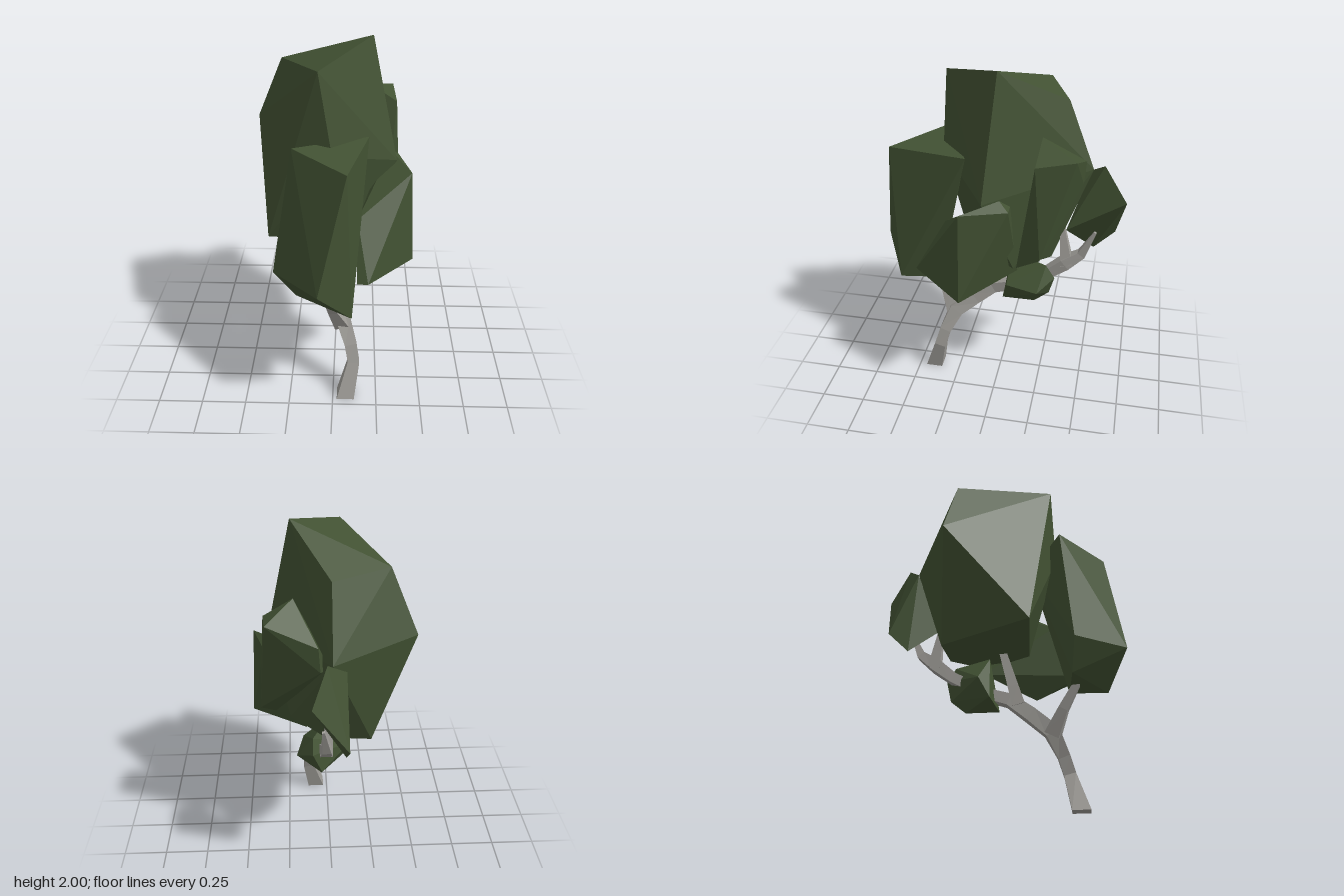
import * as THREE from 'three';
import { ConvexGeometry } from 'three/addons/geometries/ConvexGeometry.js';

const leaf = new THREE.MeshStandardMaterial({ color: 0x425233, flatShading: true });
leaf.name = 'dark green leaves';
const bark = new THREE.MeshStandardMaterial({ color: 0x9f9d98, flatShading: true });
bark.name = 'grey bark';

// Faceted leaf clump: the hull of a few corner points
function clump(name, corners) {
  const mesh = new THREE.Mesh(
    new ConvexGeometry(corners.map((c) => new THREE.Vector3(...c))), leaf);
  mesh.name = name;
  return mesh;
}

// Tapered limb: square rings along a path of [x, y, z, corner radius]
function limb(name, path, sides = 4) {
  const pts = path.map((p) => new THREE.Vector3(p[0], p[1], p[2]));
  const pos = [];
  const index = [];
  pts.forEach((p, i) => {
    const dir = pts[Math.min(i + 1, pts.length - 1)].clone()
      .sub(pts[Math.max(i - 1, 0)]).normalize();
    if (i === 0 && p.y === 0) dir.set(0, 1, 0); // flat foot on the ground
    const u = new THREE.Vector3(1, 0, 0).addScaledVector(dir, -dir.x).normalize();
    const v = new THREE.Vector3().crossVectors(dir, u);
    for (let s = 0; s < sides; s++) {
      const a = ((s + 0.5) / sides) * Math.PI * 2;
      const q = p.clone().addScaledVector(u, Math.cos(a) * path[i][3])
        .addScaledVector(v, Math.sin(a) * path[i][3]);
      pos.push(q.x, q.y, q.z);
      if (i > 0) {
        const t = (s + 1) % sides;
        const a0 = (i - 1) * sides + s, a1 = (i - 1) * sides + t;
        const b0 = i * sides + s, b1 = i * sides + t;
        index.push(a0, a1, b1, a0, b1, b0);
      }
    }
  });
  // End caps
  const last = (pts.length - 1) * sides;
  for (let s = 1; s < sides - 1; s++) {
    index.push(0, s + 1, s, last, last + s, last + s + 1);
  }
  const indexed = new THREE.BufferGeometry();
  indexed.setAttribute('position', new THREE.Float32BufferAttribute(pos, 3));
  indexed.setIndex(index);
  const geo = indexed.toNonIndexed();
  geo.computeVertexNormals();
  const mesh = new THREE.Mesh(geo, bark);
  mesh.name = name;
  return mesh;
}

export function createModel() {
  const tree = new THREE.Group();
  tree.name = 'tree';

  // Leaning trunk that turns into the long back bough
  tree.add(limb('trunk', [
    [0.073, 0, 0.408, 0.07], [0.118, 0.2, 0.355, 0.047], [0.1, 0.3, 0.325, 0.047],
    [0.055, 0.43, 0.265, 0.06], [0.025, 0.52, 0.15, 0.055], [0.01, 0.6, 0.04, 0.048],
    [0.02, 0.64, -0.08, 0.044], [0.03, 0.75, -0.28, 0.042], [0.03, 0.83, -0.38, 0.05],
    [0.03, 0.9, -0.47, 0.034], [0.05, 1.06, -0.54, 0.01],
  ]));
  tree.add(limb('frontBranch', [
    [0.05, 0.41, 0.27, 0.06], [0.0, 0.54, 0.335, 0.038], [-0.04, 0.7, 0.43, 0.024],
  ]));
  tree.add(limb('middleBranch', [
    [0.01, 0.57, 0.09, 0.05], [0.005, 0.68, 0.06, 0.042], [0.0, 0.9, 0.0, 0.028],
  ]));
  tree.add(limb('backTwig', [
    [0.03, 0.82, -0.39, 0.05], [0.02, 0.92, -0.375, 0.036], [0.0, 1.1, -0.345, 0.014],
  ]));

  // Tall main crown
  tree.add(clump('mainCrown', [
    [0.2, 2, -0.02], [-0.075, 1.9, 0.305], [-0.3, 1.82, -0.23], [0, 1.8, -0.36],
    [-0.445, 1.47, -0.28], [0, 1.42, -0.505], [0.34, 1.33, 0.04], [-0.005, 1.46, 0.32],
    [-0.365, 0.92, 0.18], [-0.22, 0.85, -0.31], [0.05, 0.88, 0.15], [0.22, 0.88, -0.11],
    [0.03, 0.86, -0.3],
  ]));
  // Slanted front clump
  tree.add(clump('frontClump', [
    [0.075, 1.49, 0.605], [0.185, 1.51, 0.155], [-0.21, 1.52, 0.35], [-0.32, 0.83, 0.41],
    [-0.07, 0.855, 0.695], [0.105, 0.66, 0.585], [-0.2, 0.67, 0.39], [0.06, 0.65, 0.37],
  ]));
  // Clump on the left side
  tree.add(clump('leftClump', [
    [0.355, 1.31, -0.105], [0.42, 1.3, 0.145], [0.445, 0.77, 0.15], [0.19, 0.79, 0.46],
    [0.19, 0.66, 0.18], [0.31, 1.35, -0.05], [0.13, 0.78, 0.44], [0.13, 0.81, -0.12],
    [0.13, 1.09, 0.29], [0.27, 1.3, -0.1],
  ]));
  // Clump at the back left
  tree.add(clump('backLeftClump', [
    [0.19, 1.67, -0.25], [0.33, 1.61, -0.44], [0.345, 1.57, -0.235], [0.375, 1.05, -0.275],
    [0.07, 1.5, -0.47], [0.06, 1.36, -0.46], [0.3, 0.94, -0.14], [0, 1.3, -0.3],
  ]));
  // Far clump at the end of the bough
  tree.add(clump('farBackClump', [
    [0.11, 1.29, -0.695], [0.03, 1.46, -0.565], [-0.07, 1.38, -0.49],
    [0.07, 1.07, -0.38], [-0.07, 0.89, -0.53], [-0.08, 1.0, -0.645],
  ]));
  // Small low clump
  tree.add(clump('lowClump', [
    [0, 0.85, -0.07], [0.1, 0.84, -0.28], [0.1, 0.76, -0.33], [0.05, 0.62, -0.295],
    [0.05, 0.55, -0.21], [-0.1, 0.59, -0.06], [0.05, 0.55, -0.02], [0.15, 0.71, -0.06],
    [0.19, 0.7, -0.24], [-0.12, 0.7, -0.12],
  ]));
  return tree;
}
